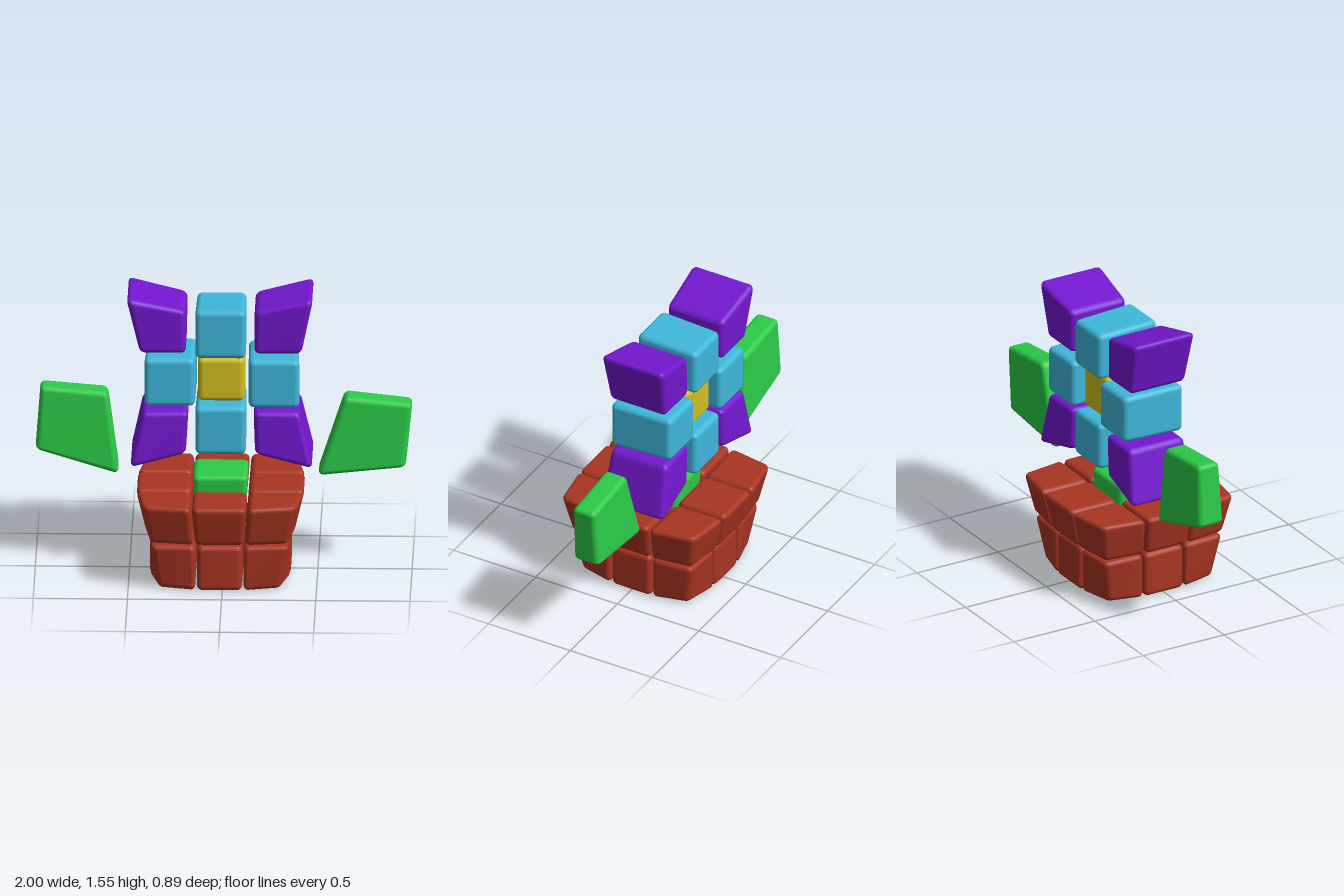
import * as THREE from 'three';
import { RoundedBoxGeometry } from 'three/addons/geometries/RoundedBoxGeometry.js';
import { mergeVertices } from 'three/addons/utils/BufferGeometryUtils.js';

const CX = -0.015; // middle of the pot and flower
const RED = 0xa83522, GREEN = 0x2bcb48, BLUE = 0x3fb8da, PURPLE = 0x7418d0, YELLOW = 0xd0c020;

const material = (color) => new THREE.MeshStandardMaterial({ color });

// Rounded block bent onto eight corners; corner(i, j, k) gives a point for i, j, k = 0 or 1 along x, y, z
function block(name, color, corner, radius = 0.03) {
  const P = [];
  for (let n = 0; n < 8; n++) P.push(new THREE.Vector3(...corner(n & 1, (n >> 1) & 1, n >> 2)));
  const size = [1, 2, 4].map((bit) => {
    let sum = 0;
    for (let n = 0; n < 8; n++) if (!(n & bit)) sum += P[n].distanceTo(P[n | bit]);
    return sum / 4;
  });
  let geo = new RoundedBoxGeometry(...size, 4, radius);
  geo.deleteAttribute('normal');
  geo.deleteAttribute('uv');
  geo = mergeVertices(geo, 1e-4);
  const pos = geo.attributes.position, v = new THREE.Vector3();
  for (let i = 0; i < pos.count; i++) {
    const t = [pos.getX(i), pos.getY(i), pos.getZ(i)].map((c, a) => c / size[a] + 0.5);
    v.set(0, 0, 0);
    for (let n = 0; n < 8; n++) {
      let w = 1;
      for (let a = 0; a < 3; a++) w *= (n >> a) & 1 ? t[a] : 1 - t[a];
      v.addScaledVector(P[n], w);
    }
    pos.setXYZ(i, v.x, v.y, v.z);
  }
  geo.computeVertexNormals();
  const mesh = new THREE.Mesh(geo, material(color));
  mesh.name = name;
  return mesh;
}

// Block from a front outline [bottom left, bottom right, top right, top left], each [x, y, zFront, zBack]
function slab(name, color, quad, back = 1, radius = 0.03) {
  return block(name, color, (i, j, k) => {
    const [x, y, zf, zb] = quad[j ? 3 - i : i];
    const s = k ? 1 : back;
    return [CX + (x - CX) * s, 1.075 + (y - 1.075) * s, k ? zf : zb];
  }, radius);
}

// One 3 x 3 layer of the pot; rings: y, outer reach, inner grid line, pull of the outer corners
function potLayer(name, low, high, hollow) {
  const layer = new THREE.Group();
  layer.name = name;
  const gap = 0.004;
  for (let a = 0; a < 3; a++) for (let b = 0; b < 3; b++) {
    if (hollow && a === 1 && b === 1) continue;
    layer.add(block('potBlock', RED, (i, j, k) => {
      const { y, R, r, pull } = j ? high : low;
      const line = [-R, -r, r, R];
      const m = a + i, n = b + k;
      const s = (m % 3 === 0 && n % 3 === 0) ? pull : 1;
      return [CX + line[m] * s + (i ? -gap : gap), y, line[n] * s + (k ? -gap : gap)];
    }));
  }
  return layer;
}

export function createModel() {
  const model = new THREE.Group();
  model.name = 'blockFlowerInPot';

  // Pot and the mound in its opening
  const pot = new THREE.Group();
  pot.name = 'pot';
  pot.add(potLayer('potBase',
    { y: 0, R: 0.378, r: 0.124, pull: 0.86 }, { y: 0.253, R: 0.378, r: 0.124, pull: 0.98 }, false));
  pot.add(potLayer('potRim',
    { y: 0.264, R: 0.4, r: 0.132, pull: 0.92 }, { y: 0.49, R: 0.453, r: 0.15, pull: 0.91 }, true));
  model.add(pot);
  model.add(block('mound', GREEN, (i, j, k) => {
    const r = j ? 0.147 : 0.13;
    return [CX + (i ? r : -r), j ? 0.567 : 0.268, k ? r : -r];
  }));

  // Flower head
  const flower = new THREE.Group();
  flower.name = 'flowerHead';
  const rect = (x0, x1, y0, y1, zf, zb) =>
    [[x0, y0, zf, zb], [x1, y0, zf, zb], [x1, y1, zf, zb], [x0, y1, zf, zb]];
  flower.add(slab('flowerCentre', YELLOW, rect(-0.137, 0.112, 0.95, 1.195, 0.04, -0.205)));
  for (const [x, y] of [[0, 1.345], [0, 0.803], [-0.271, 1.074], [0.284, 1.068]]) {
    const cx = CX + x;
    flower.add(slab('straightPetal', BLUE,
      rect(cx - 0.135, cx + 0.135, y - 0.135, y + 0.135, 0.098, -0.262), 0.965));
  }

  // Corner petals, stretched towards their outer tips
  const inZ = [0.095, -0.245], tipZ = [0.118, -0.266];
  const corners = [
    [[-0.443, 1.238, ...inZ], [-0.2, 1.238, ...inZ], [-0.197, 1.477, ...inZ], [-0.517, 1.553, ...tipZ]],
    [[0.165, 1.238, ...inZ], [0.413, 1.238, ...inZ], [0.477, 1.553, ...tipZ], [0.165, 1.477, ...inZ]],
    [[-0.497, 0.595, ...tipZ], [-0.2, 0.672, ...inZ], [-0.187, 0.908, ...inZ], [-0.43, 0.908, ...inZ]],
    [[0.168, 0.672, ...inZ], [0.477, 0.597, ...tipZ], [0.403, 0.91, ...inZ], [0.16, 0.91, ...inZ]],
  ];
  for (const quad of corners) flower.add(slab('cornerPetal', PURPLE, quad));
  model.add(flower);

  // Leaves
  const top = [-0.012, -0.145], low = [0.003, -0.153];
  model.add(slab('rightLeaf', GREEN,
    [[-1.0, 0.655, ...low], [-0.556, 0.517, ...low], [-0.617, 0.977, ...top], [-0.974, 1.007, ...top]]));
  model.add(slab('leftLeaf', GREEN,
    [[0.496, 0.517, ...low], [0.965, 0.568, ...low], [1.0, 0.923, ...top], [0.641, 0.963, ...top]]));
  return model;
}
